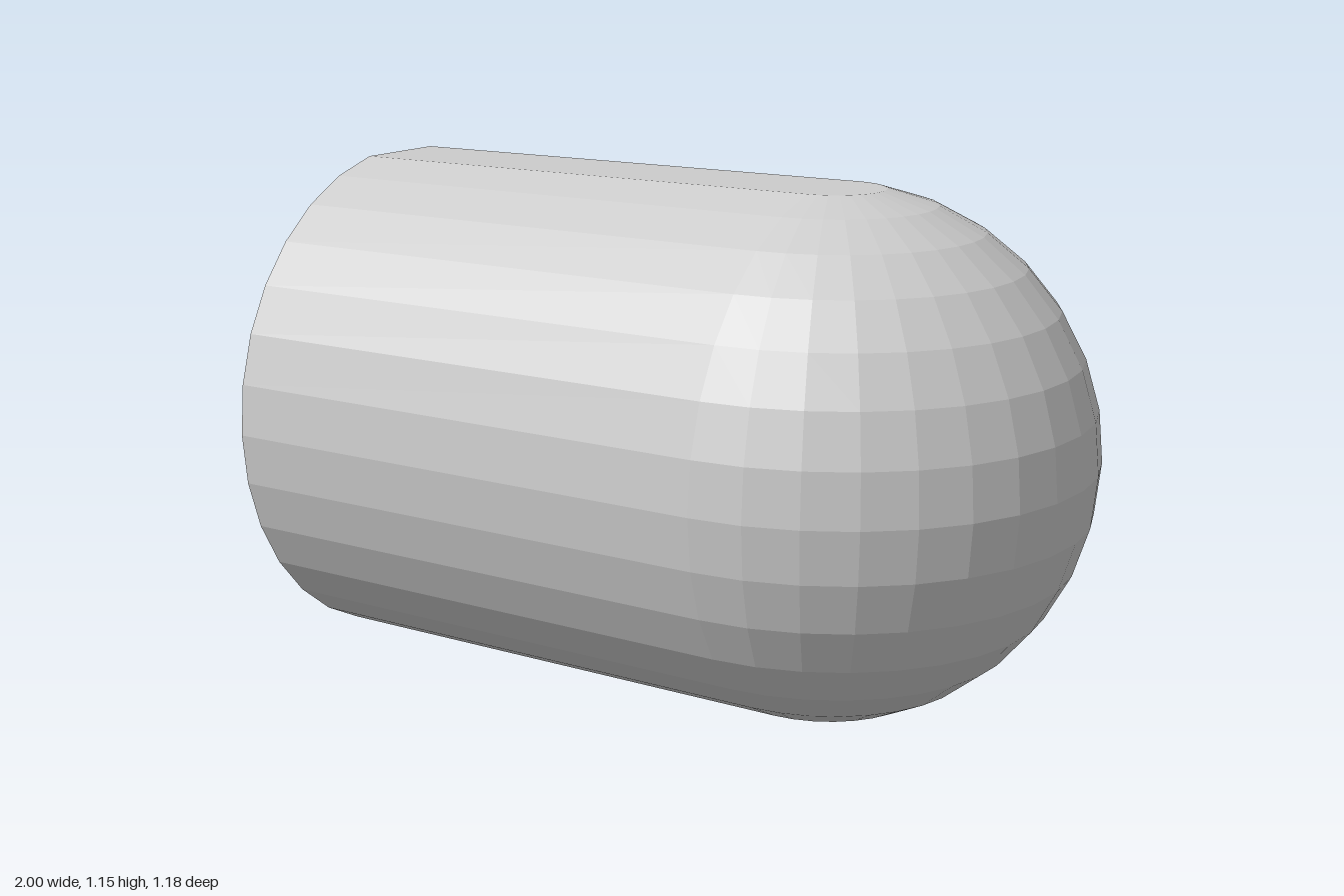
import * as THREE from 'three';

const R = 0.588, CY = 0.577, STEP = Math.PI / 16;
const BACK = -0.762, DOME = 0.412;

export function createModel() {
  const group = new THREE.Group();
  const grey = new THREE.MeshStandardMaterial({ color: 0xcccccc, flatShading: true });
  grey.name = 'light grey';

  const add = (name, geometry, x, y = CY, z = 0) => {
    const mesh = new THREE.Mesh(geometry, grey);
    mesh.name = name;
    mesh.position.set(x, y, z);
    group.add(mesh);
    return mesh;
  };

  // Faceted arc from bottom to top, with the poles cut flat
  const arc = [];
  for (let i = 1; i <= 15; i++) {
    arc.push(new THREE.Vector2(R * Math.sin(i * STEP), -R * Math.cos(i * STEP)));
  }

  // Half dome, turned about the vertical axis
  const top = arc[14].y;
  const profile = [new THREE.Vector2(0, -top), ...arc, new THREE.Vector2(0, top)];
  add('dome', new THREE.LatheGeometry(profile, 16, 0, Math.PI), DOME);

  // Barrel with the same cross-section as the dome
  const mirrored = arc.map(p => new THREE.Vector2(-p.x, p.y)).reverse();
  const section = new THREE.Shape([...arc, ...mirrored]);
  const barrel = new THREE.ExtrudeGeometry(section, { depth: DOME - BACK, bevelEnabled: false });
  barrel.rotateY(Math.PI / 2);
  add('barrel', barrel, BACK);

  // Cross-shaped handle on a short stem
  const w = 0.115, span = 0.584, armX = -1 + w / 2;
  const stemLength = BACK + 1 - w;
  add('handleStem', new THREE.BoxGeometry(stemLength, w, w), BACK - stemLength / 2);
  const h = w / 2, s = span / 2;
  const cross = new THREE.Shape([
    [h, h], [h, s], [-h, s], [-h, h], [-s, h], [-s, -h],
    [-h, -h], [-h, -s], [h, -s], [h, -h], [s, -h], [s, h],
  ].map(([x, y]) => new THREE.Vector2(x, y)));
  const handle = new THREE.ExtrudeGeometry(cross, { depth: w, bevelEnabled: false });
  handle.translate(0, 0, -w / 2);
  handle.rotateY(Math.PI / 2);
  add('crossHandle', handle, armX);

  return group;
}
